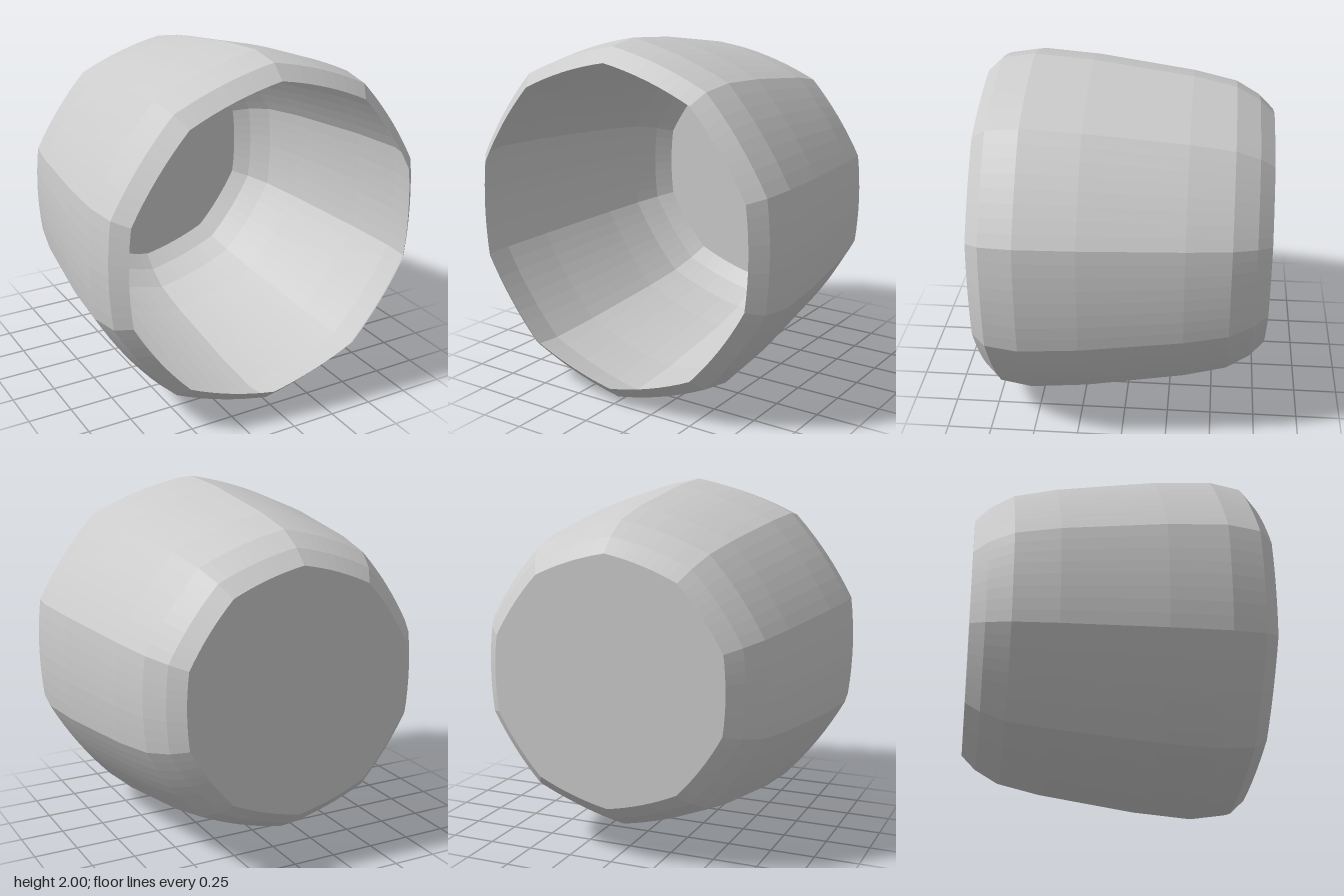
import * as THREE from 'three';

const SIDES = 10; // bulging staves around the axis
const STEPS = 8; // facets across each stave
const BULGE = 0.021; // outward bow of a stave, relative to the radius

// Corner radius and z of each ring, from the front rim to the closed back
const PROFILE = [
  [0.895, 0.79], [0.972, 0.71], [1.0, 0.53], [0.975, 0.21],
  [0.895, -0.34], [0.84, -0.58], [0.765, -0.71], [0.685, -0.79],
];

// Ten-sided outline of unit corner radius with gently bowed sides, corner at the top
function unitOutline() {
  const pts = [];
  const corner = (k) => {
    const a = Math.PI / 2 + (k * 2 * Math.PI) / SIDES;
    return new THREE.Vector2(Math.cos(a), Math.sin(a));
  };
  for (let k = 0; k < SIDES; k++) {
    const a = corner(k), b = corner(k + 1);
    const out = a.clone().add(b).normalize();
    for (let s = 0; s < STEPS; s++) {
      const t = s / STEPS;
      pts.push(a.clone().lerp(b, t).addScaledVector(out, BULGE * 4 * t * (1 - t)));
    }
  }
  return pts;
}

// Skin joining successive scaled outlines
function wallGeometry(outline) {
  const n = outline.length, pos = [], idx = [];
  for (const [r, z] of PROFILE) for (const p of outline) pos.push(p.x * r, p.y * r, z);
  for (let i = 0; i < PROFILE.length - 1; i++) {
    for (let j = 0; j < n; j++) {
      const a = i * n + j, b = i * n + ((j + 1) % n), c = a + n, d = b + n;
      idx.push(a, c, b, b, c, d);
    }
  }
  const g = new THREE.BufferGeometry();
  g.setAttribute('position', new THREE.Float32BufferAttribute(pos, 3));
  g.setIndex(idx);
  const flat = g.toNonIndexed();
  flat.computeVertexNormals();
  return flat;
}

export function createModel() {
  const group = new THREE.Group();
  group.name = 'cup';
  const grey = new THREE.MeshStandardMaterial({ color: 0xcccccc, flatShading: true, side: THREE.DoubleSide });
  grey.name = 'light grey';
  const outline = unitOutline();

  // Open faceted wall, thin and seen from both sides
  const wall = new THREE.Mesh(wallGeometry(outline), grey);
  wall.name = 'wall';

  // Flat panel closing the back; turned so its front points to -z
  const [r, z] = PROFILE[PROFILE.length - 1];
  const shape = new THREE.Shape(outline.map((p) => p.clone().multiplyScalar(r)));
  const back = new THREE.Mesh(new THREE.ShapeGeometry(shape), grey);
  back.name = 'backPanel';
  back.rotation.y = Math.PI;
  back.position.z = z;

  group.add(wall, back);
  group.position.y = 1;
  const root = new THREE.Group();
  root.name = 'model';
  root.add(group);
  return root;
}
